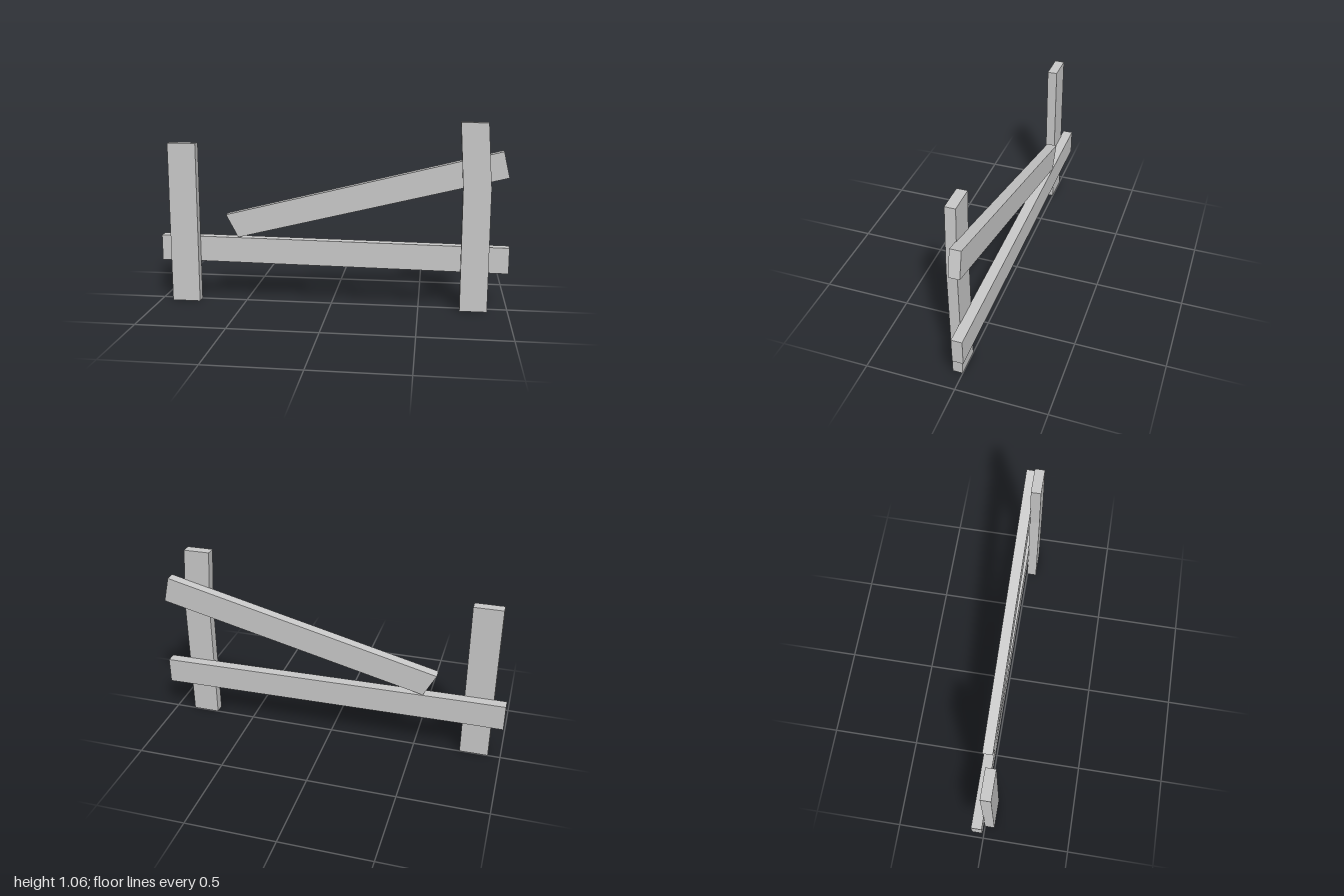
import * as THREE from 'three';

const material = new THREE.MeshStandardMaterial({ color: 0xcccccc, flatShading: true });

// A flat board: outline in x/y, counter-clockwise, extruded from zBack to zFront
function plank(name, outline, zBack, zFront) {
  const shape = new THREE.Shape(outline.map(([x, y]) => new THREE.Vector2(x, y)));
  const geometry = new THREE.ExtrudeGeometry(shape, { depth: zFront - zBack, bevelEnabled: false });
  geometry.translate(0, 0, zBack);
  const mesh = new THREE.Mesh(geometry, material);
  mesh.name = name;
  return mesh;
}

export function createModel() {
  const group = new THREE.Group();
  group.name = 'brokenFence';

  // Upright posts at the front, one of them bent near the top
  const post = [0, 0.056];
  group.add(plank('straightPost', [[-0.93, 0], [-0.768, 0], [-0.768, 0.925], [-0.93, 0.925]], ...post));
  group.add(plank('bentPost', [
    [0.733, 0], [0.886, 0], [0.886, 0.7], [0.86, 1.06], [0.711, 1.06], [0.733, 0.7],
  ], ...post));

  // Rails behind the posts: one nearly level, one fallen at a slant
  const rail = [-0.056, 0.003];
  group.add(plank('lowerRail', [
    [-1, 0.23], [-0.75, 0.23], [1, 0.212], [1, 0.36], [-0.75, 0.377], [-1, 0.378],
  ], ...rail));
  group.add(plank('fallenRail', [
    [-0.543, 0.378], [0.984, 0.755], [0.95, 0.9], [-0.613, 0.509],
  ], ...rail));

  return group;
}
